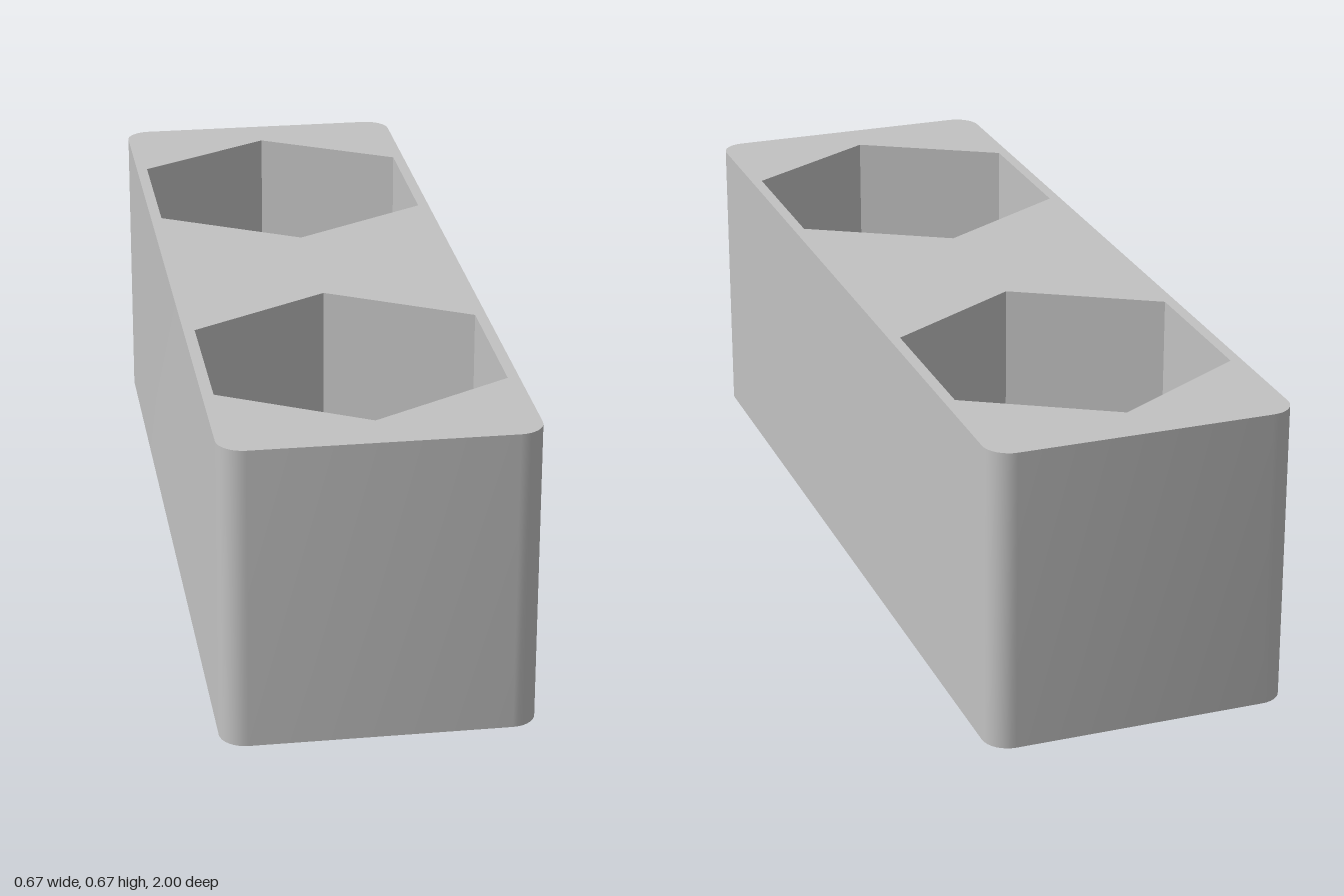
import * as THREE from 'three';
import { mergeGeometries, toCreasedNormals } from 'three/addons/utils/BufferGeometryUtils.js';

// Block and pocket sizes; plan outlines use (x, -z)
const W = 0.333, L = 1, H = 0.667, CORNER = 0.056;
const HEX = 0.356, HOLE = 0.185, SLOT = 0.186, SPACING = 0.534;
const HEX_FLOOR = 0.333, SLOT_FLOOR = 0.311, SQUARE_FLOOR = 0.289;

const arc = (cx, cy, r, from, to, n) => Array.from({ length: n + 1 }, (_, i) => {
  const a = from + (to - from) * i / n;
  return new THREE.Vector2(cx + r * Math.cos(a), cy + r * Math.sin(a));
});
const shift = (pts, dy) => pts.map(p => new THREE.Vector2(p.x, p.y + dy));

// Vertical wall along a closed counter-clockwise outline
function wall(outline, y0, y1, inward = false) {
  const pts = inward ? [...outline].reverse() : outline;
  const pos = [];
  pts.forEach((a, i) => {
    const b = pts[(i + 1) % pts.length];
    const a0 = [a.x, y0, -a.y], b0 = [b.x, y0, -b.y];
    const a1 = [a.x, y1, -a.y], b1 = [b.x, y1, -b.y];
    pos.push(...a0, ...b0, ...b1, ...a0, ...b1, ...a1);
  });
  const g = new THREE.BufferGeometry();
  g.setAttribute('position', new THREE.Float32BufferAttribute(pos, 3));
  g.computeVertexNormals();
  return g;
}

// Flat horizontal face with optional holes
function face(outline, y, holes = [], down = false) {
  const shape = new THREE.Shape(outline);
  shape.holes = holes.map(h => new THREE.Path(h));
  const g = new THREE.ShapeGeometry(shape).toNonIndexed();
  g.deleteAttribute('uv');
  // the underside outline is symmetric front to back, so it may be flipped over
  return g.rotateX(down ? Math.PI / 2 : -Math.PI / 2).translate(0, y, 0);
}

export function createModel() {
  const group = new THREE.Group();
  const grey = new THREE.MeshStandardMaterial({ color: 0xc2c2c2 });
  grey.name = 'grey';
  const add = (name, parts) => {
    const mesh = new THREE.Mesh(toCreasedNormals(mergeGeometries(parts), 0.5), grey);
    mesh.name = name;
    group.add(mesh);
  };

  // Outlines
  const q = Math.PI / 2, cx = W - CORNER, cy = L - CORNER;
  const block = [[cx, cy], [-cx, cy], [-cx, -cy], [cx, -cy]]
    .flatMap(([x, y], i) => arc(x, y, CORNER, i * q, (i + 1) * q, 8));
  const circle = arc(0, 0, HOLE, 0, 2 * Math.PI, 48).slice(0, -1);
  const hex = arc(0, 0, HEX, q, q + 2 * Math.PI, 6).slice(0, -1);

  // Stepped floor outlines, turned to run along the slot
  const turned = pts => pts.map(([x, y]) =>
    new THREE.Vector2(x, y).rotateAround(new THREE.Vector2(), Math.PI / 3));
  const flip = pts => pts.map(([x, y]) => [-x, -y]);
  const e = Math.sqrt(3) * (HEX - SLOT), f = HEX * Math.sqrt(3) / 2;
  const end = [[e, -SLOT], [f, -HEX / 2], [f, HEX / 2], [e, SLOT]];
  const slot = turned([...end, ...flip(end)]);
  const square = turned([[SLOT, -SLOT], [SLOT, SLOT], [-SLOT, SLOT], [-SLOT, -SLOT]]);
  const hexLedge = [[e, SLOT], [0, HEX], [-e, SLOT]];
  const slotLedge = [[SLOT, -SLOT], ...end, [SLOT, SLOT]];

  // Block shell
  const both = pts => [shift(pts, SPACING), shift(pts, -SPACING)];
  add('blockSides', [wall(block, 0, H)]);
  add('blockTop', [face(block, H, both(hex))]);
  add('blockUnderside', [face(block, 0, both(circle), true)]);

  // Nut pockets stepping down to the bolt holes
  [['front', -SPACING], ['back', SPACING]].forEach(([side, dy]) => {
    const at = pts => shift(pts, dy);
    add(side + 'HexPocket', [
      wall(at(hex), HEX_FLOOR, H, true),
      face(at(turned(hexLedge)), HEX_FLOOR),
      face(at(turned(flip(hexLedge))), HEX_FLOOR),
    ]);
    add(side + 'SlotStep', [
      wall(at(slot), SLOT_FLOOR, HEX_FLOOR, true),
      face(at(turned(slotLedge)), SLOT_FLOOR),
      face(at(turned(flip(slotLedge))), SLOT_FLOOR),
    ]);
    add(side + 'SquareStep', [
      wall(at(square), SQUARE_FLOOR, SLOT_FLOOR, true),
      face(at(square), SQUARE_FLOOR, [at(circle)]),
    ]);
    add(side + 'BoltHole', [wall(at(circle), 0, SQUARE_FLOOR, true)]);
  });
  return group;
}
